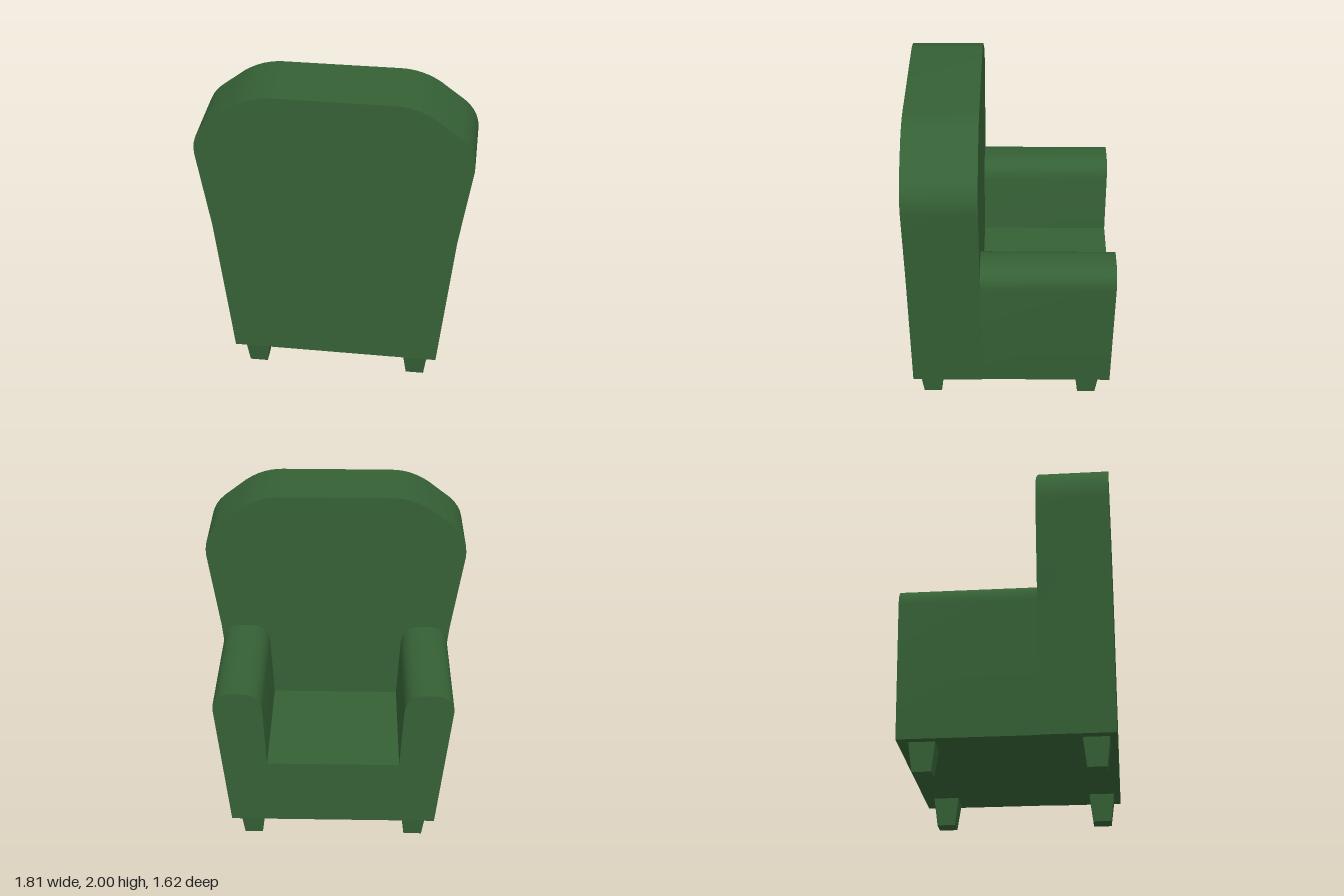
import * as THREE from 'three';
import { toCreasedNormals } from 'three/addons/utils/BufferGeometryUtils.js';

const BASE = 0.172;               // underside of the upholstery
const FRONT = -0.657, MID = 0.156, REAR = 0.593; // depth stations (the seat opens toward -z)

export function createModel() {
  const material = new THREE.MeshStandardMaterial({ color: 0x356035 });
  const chair = new THREE.Group();
  chair.name = 'armchair';

  // Extrude an x-y profile between two depths, smoothing only the rounded corners
  const slab = (name, shape, z0, z1) => {
    const geo = new THREE.ExtrudeGeometry(shape, { depth: z1 - z0, bevelEnabled: false, curveSegments: 6 });
    geo.translate(0, 0, z0);
    const mesh = new THREE.Mesh(toCreasedNormals(geo, 0.5), material);
    mesh.name = name;
    chair.add(mesh);
  };

  // Backrest: flares upward to rounded shoulders
  const back = new THREE.Shape();
  back.moveTo(-0.638, BASE);
  back.lineTo(0.638, BASE);
  back.lineTo(0.733, 1.1);
  back.lineTo(0.808, 1.6);
  back.quadraticCurveTo(0.822, 1.73, 0.723, 1.815);
  back.lineTo(0.58, 1.925);
  back.quadraticCurveTo(0.47, 2, 0.345, 2);
  back.lineTo(-0.345, 2);
  back.quadraticCurveTo(-0.47, 2, -0.58, 1.925);
  back.lineTo(-0.723, 1.815);
  back.quadraticCurveTo(-0.822, 1.73, -0.808, 1.6);
  back.lineTo(-0.733, 1.1);
  back.closePath();
  slab('backrest', back, MID, REAR);

  // Seat block filling the space between the leaning arms
  const seat = new THREE.Shape();
  seat.moveTo(-0.38, BASE);
  seat.lineTo(0.38, BASE);
  seat.lineTo(0.402, 0.6);
  seat.lineTo(-0.402, 0.6);
  seat.closePath();
  slab('seat', seat, FRONT, MID);

  // Arms: lean outward, with rolled tops
  for (const [side, s] of [['left', 1], ['right', -1]]) {
    const arm = new THREE.Shape();
    arm.moveTo(s * 0.38, BASE);
    arm.lineTo(s * 0.632, BASE);
    arm.lineTo(s * 0.717, 0.985);
    arm.bezierCurveTo(s * 0.724, 1.06, s * 0.67, 1.102, s * 0.607, 1.102);
    arm.lineTo(s * 0.535, 1.102);
    arm.bezierCurveTo(s * 0.47, 1.102, s * 0.425, 1.06, s * 0.422, 0.985);
    arm.closePath();
    slab(side + 'Arm', arm, FRONT, MID);
  }

  // Four tapered square legs
  const legGeo = new THREE.CylinderGeometry(0.155 / Math.SQRT2, 0.112 / Math.SQRT2, BASE, 4, 1)
    .rotateY(Math.PI / 4).toNonIndexed();
  legGeo.computeVertexNormals();
  for (const x of [-0.505, 0.505]) {
    for (const z of [-0.515, 0.476]) {
      const leg = new THREE.Mesh(legGeo, material);
      leg.name = (z < 0 ? 'seatEnd' : 'backrestEnd') + (x > 0 ? 'LeftLeg' : 'RightLeg');
      leg.position.set(x, BASE / 2, z);
      chair.add(leg);
    }
  }

  // The whole chair stands turned a little about the vertical
  const angle = THREE.MathUtils.degToRad(15.9);
  chair.rotation.y = angle;
  chair.position.set(-0.04 * Math.cos(angle), 0, 0.04 * Math.sin(angle));

  const model = new THREE.Group();
  model.name = 'armchairModel';
  model.add(chair);
  return model;
}
